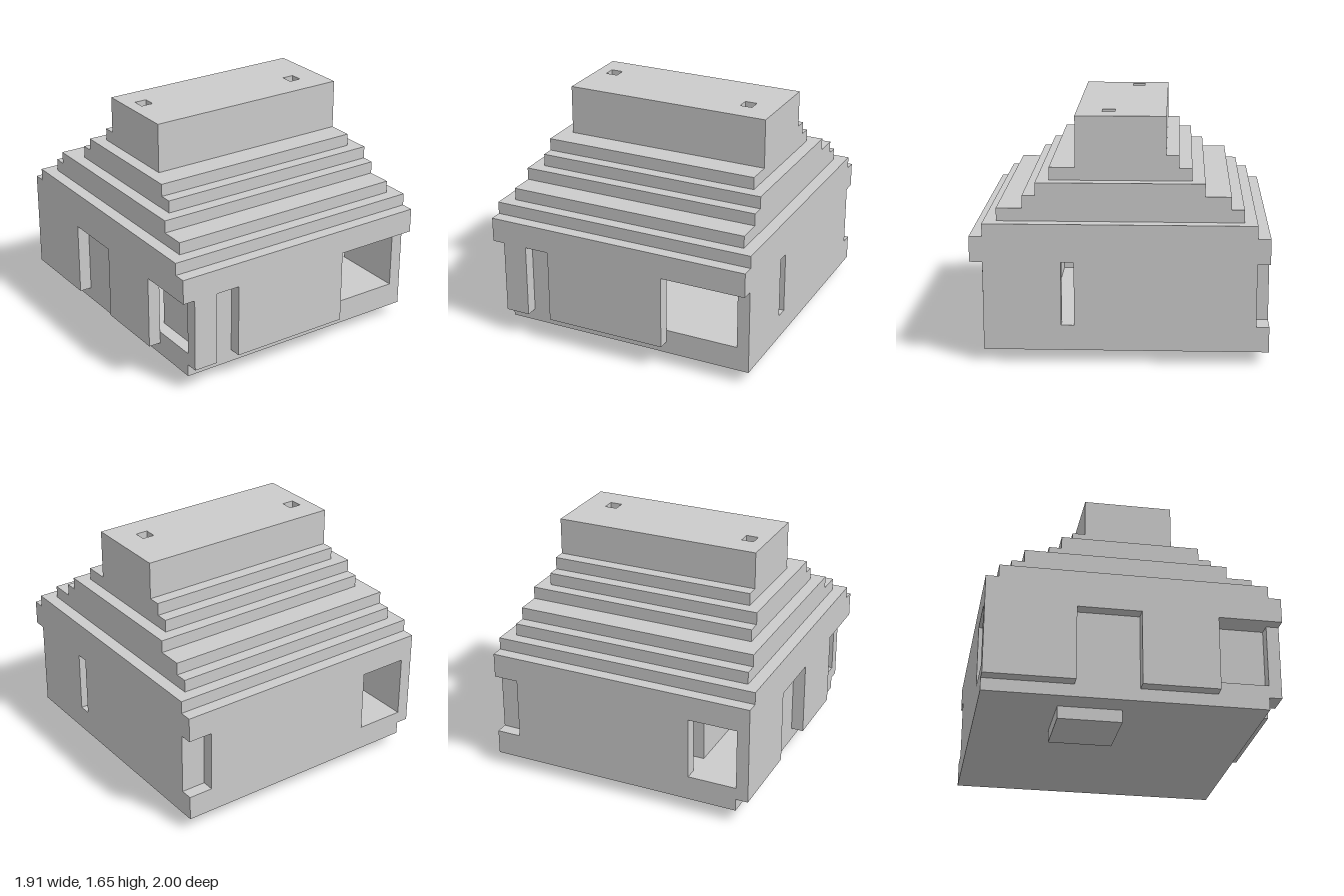
import * as THREE from 'three';

const U = 2 / 23; // one block
const material = new THREE.MeshStandardMaterial({ color: 0xcccccc, flatShading: true });

// Box given by its extents in blocks
function block(parent, name, [x0, x1], [y0, y1], [z0, z1]) {
  const mesh = new THREE.Mesh(
    new THREE.BoxGeometry((x1 - x0) * U, (y1 - y0) * U, (z1 - z0) * U), material);
  mesh.position.set((x0 + x1) / 2 * U, (y0 + y1) / 2 * U, (z0 + z1) / 2 * U);
  mesh.name = name;
  parent.add(mesh);
}

function rect(target, [x0, x1], [z0, z1]) {
  target.moveTo(x0 * U, -z0 * U);
  target.lineTo(x0 * U, -z1 * U);
  target.lineTo(x1 * U, -z1 * U);
  target.lineTo(x1 * U, -z0 * U);
  target.closePath();
  return target;
}

export function createModel() {
  const model = new THREE.Group();
  model.name = 'house';

  // Foundation
  block(model, 'foot', [-8, -3], [0, 1], [-5.5, -0.5]);
  block(model, 'plinth', [-10, 11], [1, 3], [-11.5, 10.5]);

  const walls = new THREE.Group();
  walls.name = 'walls';
  model.add(walls);

  // Front panels with the door recess between them and an open corner window
  block(walls, 'frontPanel', [-10, -8], [2, 8], [10.5, 11.5]);
  block(walls, 'frontPanel', [-6, 4], [2, 8], [10.5, 11.5]);
  block(walls, 'entranceBlock', [-9, 1], [3, 8], [5.5, 10.5]);

  // Right side panels, with a recessed doorway and a window
  block(walls, 'rightPanel', [-11, -10], [2, 8], [-11.5, -4.5]);
  block(walls, 'rightPanel', [-11, -10], [2, 8], [0.5, 6.5]);
  block(walls, 'sideDoor', [-10, -9], [3, 8], [-4.5, 0.5]);

  // Left wall, split by a slit window
  block(walls, 'leftWall', [10, 11], [3, 8], [4.5, 10.5]);
  block(walls, 'leftWall', [10, 11], [3, 8], [-10.5, 3.5]);

  // Back wall between the window and the notched corner
  block(walls, 'backWall', [-6, 9], [3, 8], [-11.5, -10.5]);
  block(walls, 'cornerPost', [6, 10], [3, 8], [-10.5, -9.5]);
  block(walls, 'cornerPost', [8, 10], [3, 8], [-9.5, -8.5]);

  // Inner partition
  block(walls, 'partition', [-6, -5], [3, 8], [-8.5, 5.5]);

  // Stepped roof: x extents, y extents, z extents of each layer
  const roof = new THREE.Group();
  roof.name = 'roof';
  model.add(roof);
  [
    [[-11, 11], [8, 10], [-11.5, 11.5]],
    [[-11, 11], [10, 11], [-10.5, 10.5]],
    [[-10, 10], [11, 12], [-9.5, 9.5]],
    [[-10, 10], [12, 13], [-8.5, 7.5]],
    [[-9, 10], [13, 14], [-6.5, 6.5]],
    [[-9, 9], [14, 15], [-5.5, 5.5]],
    [[-8, 9], [15, 16], [-4.5, 3.5]],
    [[-8, 9], [16, 18], [-3.5, 3.5]],
  ].forEach((layer) => block(roof, 'roofStep', ...layer));

  // Top slab with two square vents
  const top = rect(new THREE.Shape(), [-8, 9], [-3.5, 3.5]);
  top.holes.push(rect(new THREE.Path(), [-7, -6], [-1.5, -0.5]));
  top.holes.push(rect(new THREE.Path(), [6, 7], [0.5, 1.5]));
  const slab = new THREE.Mesh(
    new THREE.ExtrudeGeometry(top, { depth: U, bevelEnabled: false }), material);
  slab.rotation.x = -Math.PI / 2;
  slab.position.y = 18 * U;
  slab.name = 'ventedTop';
  roof.add(slab);

  return model;
}
